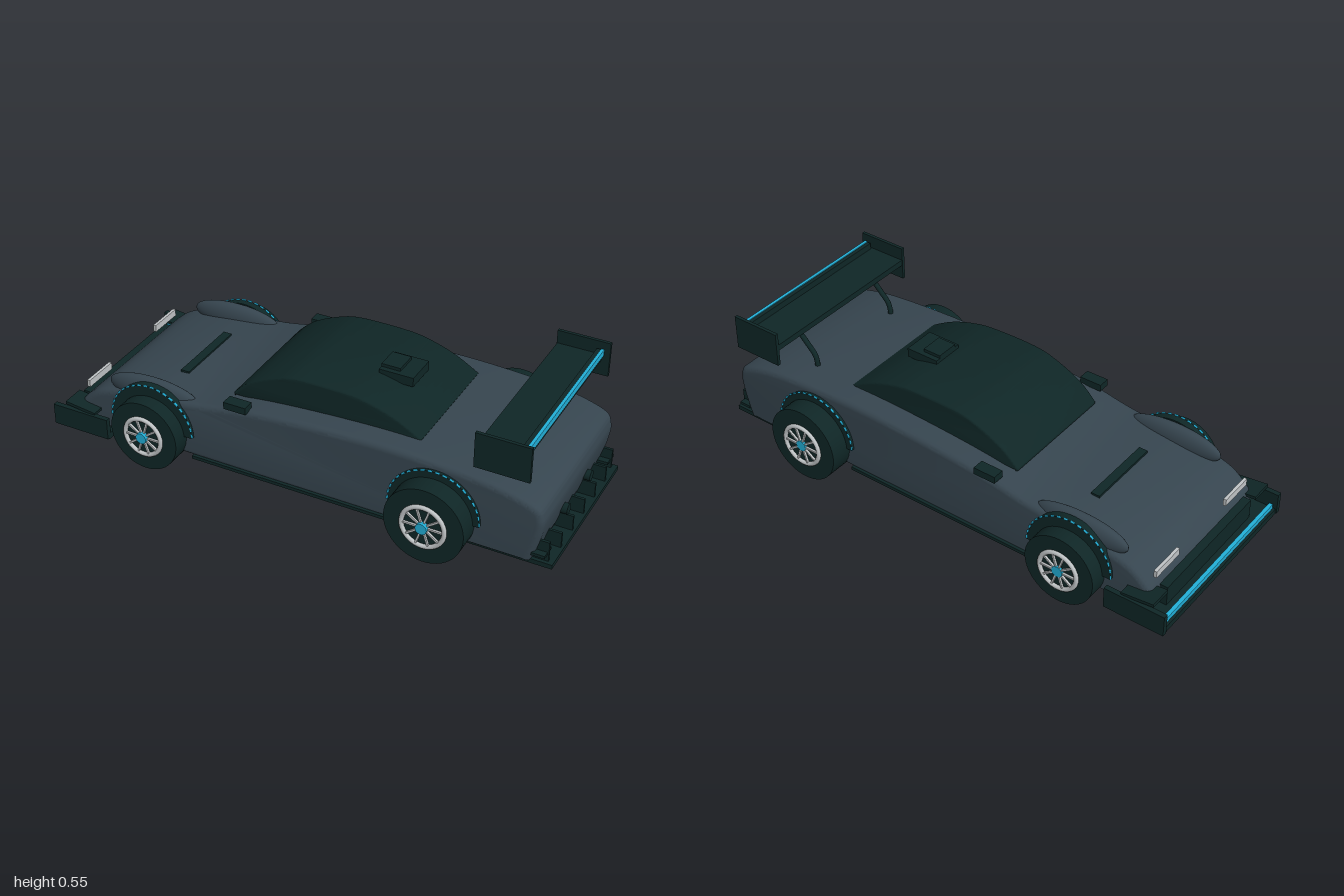
import * as THREE from 'three';
import { toCreasedNormals } from 'three/addons/utils/BufferGeometryUtils.js';

const mat = (name, color) => {
  const m = new THREE.MeshStandardMaterial({ color });
  m.name = name;
  return m;
};

export function createModel() {
  const root = new THREE.Group();
  root.name = 'raceCar';
  const charcoal = mat('charcoal paint', 0x36454f);
  const dark = mat('dark green black', 0x0f2626);
  const cyan = mat('cyan accent', 0x22b0d8);
  const silver = mat('silver', 0xc0c4c6);

  const add = (name, geo, material, x = 0, y = 0, z = 0, parent = root) => {
    const mesh = new THREE.Mesh(geo, material);
    mesh.name = name;
    mesh.position.set(x, y, z);
    parent.add(mesh);
    return mesh;
  };
  // box given by its min and max on each axis
  const box = (name, material, x0, x1, y0, y1, z0, z1) =>
    add(name, new THREE.BoxGeometry(x1 - x0, y1 - y0, z1 - z0), material,
      (x0 + x1) / 2, (y0 + y1) / 2, (z0 + z1) / 2);
  // the same box on both sides of the car
  const boxPair = (name, material, x0, x1, y0, y1, z0, z1) => {
    box(name, material, x0, x1, y0, y1, z0, z1);
    box(name, material, x0, x1, y0, y1, -z1, -z0);
  };
  // side profile extruded across the car, with rounded edges
  const sideProfile = (start, spline, halfWidth, bevel) => {
    const s = new THREE.Shape();
    s.moveTo(...start);
    s.lineTo(...spline[0]);
    s.splineThru(spline.slice(1).map(p => new THREE.Vector2(...p)));
    const geo = new THREE.ExtrudeGeometry(s, {
      depth: 2 * (halfWidth - bevel), curveSegments: 40,
      bevelSize: bevel, bevelThickness: bevel, bevelOffset: -bevel, bevelSegments: 5,
    });
    geo.translate(0, 0, -(halfWidth - bevel));
    return toCreasedNormals(geo, 0.6);
  };

  // body shell
  add('body', sideProfile([0.9, 0.06], [
    [-0.9, 0.06], [-0.915, 0.14], [-0.88, 0.19], [-0.8, 0.24], [-0.62, 0.277], [-0.4, 0.295],
    [-0.2, 0.33], [0.05, 0.352], [0.35, 0.363], [0.62, 0.353], [0.8, 0.333],
    [0.925, 0.295], [0.953, 0.25], [0.95, 0.19], [0.93, 0.11], [0.915, 0.065],
  ], 0.34, 0.025), charcoal);

  // front fender bulges
  for (const s of [-1, 1]) {
    const f = add('frontFender', new THREE.SphereGeometry(1, 32, 20), charcoal, -0.6, 0.27, s * 0.302);
    f.scale.set(0.192, 0.06, 0.036);
  }

  // cabin
  add('canopy', sideProfile([0.47, 0.32], [
    [-0.29, 0.32], [-0.285, 0.335], [-0.22, 0.392], [-0.12, 0.44], [-0.02, 0.464], [0.17, 0.464],
    [0.27, 0.448], [0.37, 0.413], [0.46, 0.362],
  ], 0.245, 0.008), dark);
  box('roofScoop', dark, 0.205, 0.34, 0.44, 0.476, -0.065, 0.065);
  box('roofScoopIntake', dark, 0.205, 0.28, 0.45, 0.488, -0.045, 0.045);
  boxPair('mirror', dark, -0.27, -0.18, 0.327, 0.355, 0.305, 0.352);
  box('hoodVent', dark, -0.575, -0.54, 0.26, 0.291, -0.155, 0.155);

  // sills and underfloor edge
  boxPair('sideSkirt', dark, -0.42, 0.4, 0.055, 0.068, 0.31, 0.346);

  // nose
  boxPair('headlight', silver, -0.905, -0.893, 0.2, 0.228, 0.155, 0.3);
  box('noseGrille', dark, -0.94, -0.88, 0.08, 0.16, -0.28, 0.28);
  box('splitterFloor', dark, -0.995, -0.76, 0.055, 0.08, -0.385, 0.385);
  box('splitterStripe', cyan, -0.985, -0.97, 0.075, 0.1, -0.37, 0.37);
  boxPair('splitterEndPlate', dark, -1, -0.76, 0.06, 0.145, 0.375, 0.395);
  for (const s of [-1, 1]) {
    const c = box('canard', dark, -0.95, -0.82, 0.148, 0.16, s * 0.34 - 0.045, s * 0.34 + 0.045);
    c.rotation.z = -0.12;
  }

  // wheels and arches
  const wheel = (x, r, rimR, outer, width, s) => {
    const g = new THREE.Group();
    g.name = 'wheel';
    g.position.set(x, r, 0);
    root.add(g);
    const tyre = add('tyre', new THREE.CylinderGeometry(r, r, width, 48), dark, 0, 0, s * (outer - width / 2), g);
    tyre.rotation.x = Math.PI / 2;
    add('rim', new THREE.TorusGeometry(rimR - 0.009, 0.009, 10, 40), silver, 0, 0, s * (outer + 0.002), g);
    for (let i = 0; i < 10; i++) {
      const a = i / 10 * Math.PI * 2, m = rimR * 0.53;
      const spoke = add('spoke', new THREE.BoxGeometry(rimR * 0.8, 0.007, 0.008), silver,
        Math.cos(a) * m, Math.sin(a) * m, s * (outer + 0.004), g);
      spoke.rotation.z = a;
    }
    const hub = add('hub', new THREE.CylinderGeometry(0.022, 0.022, 0.02, 20), cyan, 0, 0,
      s > 0 ? outer + 0.008 : -outer, g);
    hub.rotation.x = Math.PI / 2;
  };
  const arch = (x, y, s) => {
    const half = new THREE.Shape();
    half.absarc(0, 0, 0.174, 0, Math.PI, false);
    const geo = new THREE.ExtrudeGeometry(half, { depth: 0.03, bevelEnabled: false, curveSegments: 32 });
    add('wheelArch', toCreasedNormals(geo, 0.5), dark, x, y, s > 0 ? 0.324 : -0.354);
    // accent dashes along the arch edge
    for (let i = 0; i < 20; i++) {
      add('archAccent', new THREE.TorusGeometry(0.175, 0.004, 6, 3, Math.PI / 32), cyan, x, y, s * 0.354)
        .rotation.z = (i + 0.2) / 20 * Math.PI;
    }
  };
  for (const s of [-1, 1]) {
    wheel(-0.585, 0.141, 0.085, 0.412, 0.12, s);
    wheel(0.56, 0.151, 0.09, 0.43, 0.135, s);
    arch(-0.585, 0.15, s);
    arch(0.56, 0.156, s);
  }

  // rear wing
  box('wingPlane', dark, 0.71, 0.88, 0.476, 0.5, -0.36, 0.36);
  box('wingFlap', dark, 0.862, 0.878, 0.495, 0.525, -0.35, 0.35);
  box('wingStripe', cyan, 0.878, 0.89, 0.503, 0.528, -0.35, 0.35);
  boxPair('wingEndPlate', dark, 0.708, 0.91, 0.415, 0.552, 0.358, 0.371);
  const strut = new THREE.CatmullRomCurve3([
    new THREE.Vector3(0.655, 0.34, 0), new THREE.Vector3(0.665, 0.39, 0),
    new THREE.Vector3(0.7, 0.43, 0), new THREE.Vector3(0.75, 0.48, 0),
  ]);
  for (const s of [-1, 1]) {
    add('wingStrut', new THREE.TubeGeometry(strut, 16, 0.01, 10), dark, 0, 0, s * 0.215);
  }

  // tail: diffuser, fins and exhausts
  box('diffuserFloor', dark, 0.66, 0.995, 0.054, 0.072, -0.325, 0.325);
  for (let i = -2; i <= 2; i++) {
    box('diffuserFin', dark, 0.9, 0.985, 0.065, 0.132, i * 0.108 - 0.005, i * 0.108 + 0.005);
  }
  boxPair('outerFin', dark, 0.9, 0.975, 0.065, 0.15, 0.3, 0.311);
  boxPair('outerFinBar', dark, 0.92, 0.97, 0.098, 0.109, 0.274, 0.337);
  for (const s of [-1, 1]) {
    const e = add('exhaust', new THREE.CylinderGeometry(0.02, 0.02, 0.06, 24), dark, 0.935, 0.155, s * 0.11);
    e.rotation.z = Math.PI / 2;
  }

  root.position.z = -0.003;
  const model = new THREE.Group();
  model.name = 'model';
  model.add(root);
  return model;
}
